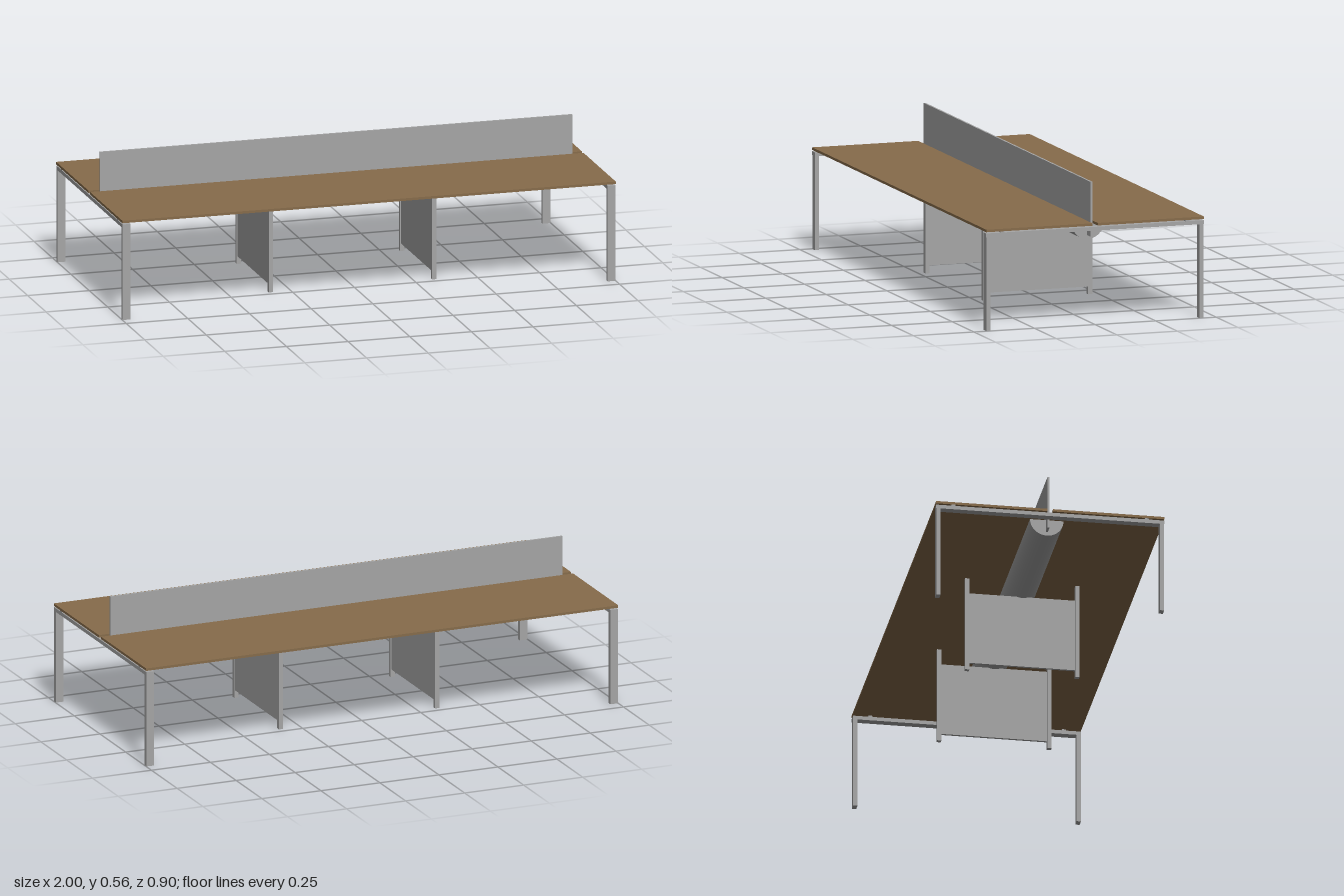
import * as THREE from 'three';

export function createModel() {
  const desk = new THREE.Group();
  desk.name = 'sharedDesk';
  const wood = new THREE.MeshStandardMaterial({ color: 0x876c4b });
  wood.name = 'brown wood';
  const metal = new THREE.MeshStandardMaterial({ color: 0xa6a6a6 });
  metal.name = 'grey metal';
  const trayMetal = metal.clone();
  trayMetal.side = THREE.DoubleSide;

  // Box given by its minimum and maximum on each axis
  function box(name, material, [x0, x1], [y0, y1], [z0, z1]) {
    const geometry = new THREE.BoxGeometry(x1 - x0, y1 - y0, z1 - z0);
    const mesh = new THREE.Mesh(geometry, material);
    mesh.position.set((x0 + x1) / 2, (y0 + y1) / 2, (z0 + z1) / 2);
    mesh.name = name;
    desk.add(mesh);
  }
  const around = (centre, size) => [centre - size / 2, centre + size / 2];

  for (const side of [-1, 1]) {
    // Front and back tabletops with a slot between them
    box('tabletop', wood, [-1, 1], [0.39, 0.4], around(side * 0.23, 0.438));

    // End frame: crossbeam, two legs and small spacers under the tops
    const endX = around(side * 0.983, 0.032);
    box('endBeam', metal, endX, [0.37, 0.385], [-0.449, 0.449]);
    // Inner support: two posts with a modesty panel between them
    const postX = side * 0.331;
    box('supportPanel', metal, around(postX, 0.01), [0.03, 0.328], [-0.21, 0.21]);
    for (const end of [-1, 1]) {
      box('endLeg', metal, endX, [0, 0.37], around(end * 0.44, 0.017));
      box('spacer', metal, endX, [0.385, 0.39], around(end * 0.381, 0.016));
      box('supportPost', metal, around(postX, 0.018), [0, 0.39], around(end * 0.217, 0.017));
    }
  }

  // Divider screen standing in the slot
  box('dividerScreen', metal, [-0.957, 0.957], [0.34, 0.556], [-0.004, 0.004]);

  // Half-round cable tray, open at the top and closed at the ends
  const trayGeometry = new THREE.CylinderGeometry(0.066, 0.066, 1.834, 32, 1, false, 0, Math.PI);
  trayGeometry.rotateZ(-Math.PI / 2);
  const tray = new THREE.Mesh(trayGeometry, trayMetal);
  tray.position.y = 0.39;
  tray.name = 'cableTray';
  desk.add(tray);

  return desk;
}
